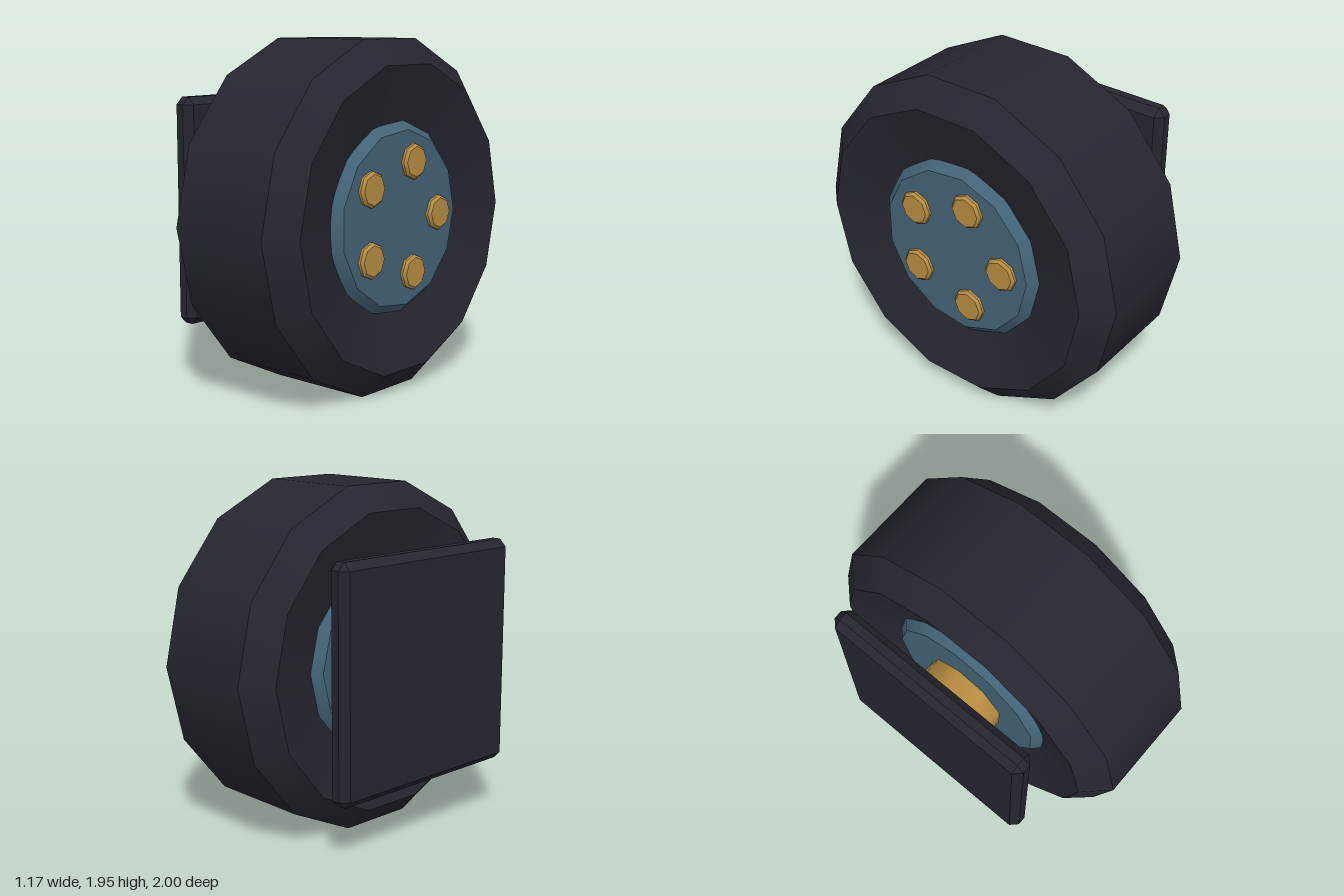
import * as THREE from 'three';
import { mergeGeometries } from 'three/addons/utils/BufferGeometryUtils.js';
import { ConvexGeometry } from 'three/addons/geometries/ConvexGeometry.js';

const AXLE_Y = 0.975;

// Solid turned about the x axis: each profile band [radius, x] is smooth around, creased at its edges
function turned(profile, sides) {
  const bands = [];
  for (let i = 0; i < profile.length - 1; i++) {
    const pair = [profile[i], profile[i + 1]].map(([r, x]) => new THREE.Vector2(r, x));
    bands.push(new THREE.LatheGeometry(pair, sides, Math.PI));
  }
  return mergeGeometries(bands).rotateZ(-Math.PI / 2);
}

// Box with every edge and corner cut by c
function chamferedBox(w, h, d, c) {
  const points = [];
  for (const sx of [-1, 1]) for (const sy of [-1, 1]) for (const sz of [-1, 1]) {
    for (let axis = 0; axis < 3; axis++) {
      const p = [w / 2 - c, h / 2 - c, d / 2 - c];
      p[axis] += c;
      points.push(new THREE.Vector3(p[0] * sx, p[1] * sy, p[2] * sz));
    }
  }
  return new ConvexGeometry(points);
}

export function createModel() {
  const rubber = new THREE.MeshStandardMaterial({ color: 0x262630 });
  const steel = new THREE.MeshStandardMaterial({ color: 0x446478 });
  const brass = new THREE.MeshStandardMaterial({ color: 0xb88d40 });
  rubber.name = 'dark rubber';
  steel.name = 'blue steel';
  brass.name = 'brass';

  const model = new THREE.Group();
  model.name = 'wheelAssembly';
  const add = (name, geometry, material, x = 0, y = AXLE_Y, z = 0) => {
    const mesh = new THREE.Mesh(geometry, material);
    mesh.name = name;
    mesh.position.set(x, y, z);
    model.add(mesh);
  };

  // Tyre with bevelled shoulders and dished side walls
  add('tyre', turned([
    [0.5, -0.195], [0.86, -0.3], [1, -0.165], [1, 0.455], [0.86, 0.585], [0.5, 0.48],
  ], 14), rubber);

  // Hub running through the tyre, bevelled on both faces
  add('hub', turned([
    [0, -0.255], [0.49, -0.255], [0.54, -0.205], [0.54, 0.49], [0.49, 0.54], [0, 0.54],
  ], 13), steel);

  // Axle between hub and mounting plate
  add('axle', turned([
    [0, -0.455], [0.205, -0.455], [0.26, -0.395], [0.26, -0.2], [0, -0.2],
  ], 9), brass);

  // Ring of five bolts on the outer face
  const boltGeometry = turned([[0.1, 0], [0.1, 0.02], [0.085, 0.035], [0, 0.035]], 8);
  for (let i = 0; i < 5; i++) {
    const a = (i / 5) * Math.PI * 2;
    add('bolt', boltGeometry, brass, 0.535, AXLE_Y + Math.sin(a) * 0.325, -Math.cos(a) * 0.325);
  }

  // Square mounting plate on the inner side
  add('mountingPlate', chamferedBox(0.135, 1.3, 1.3, 0.042), rubber, -0.5175);

  return model;
}
